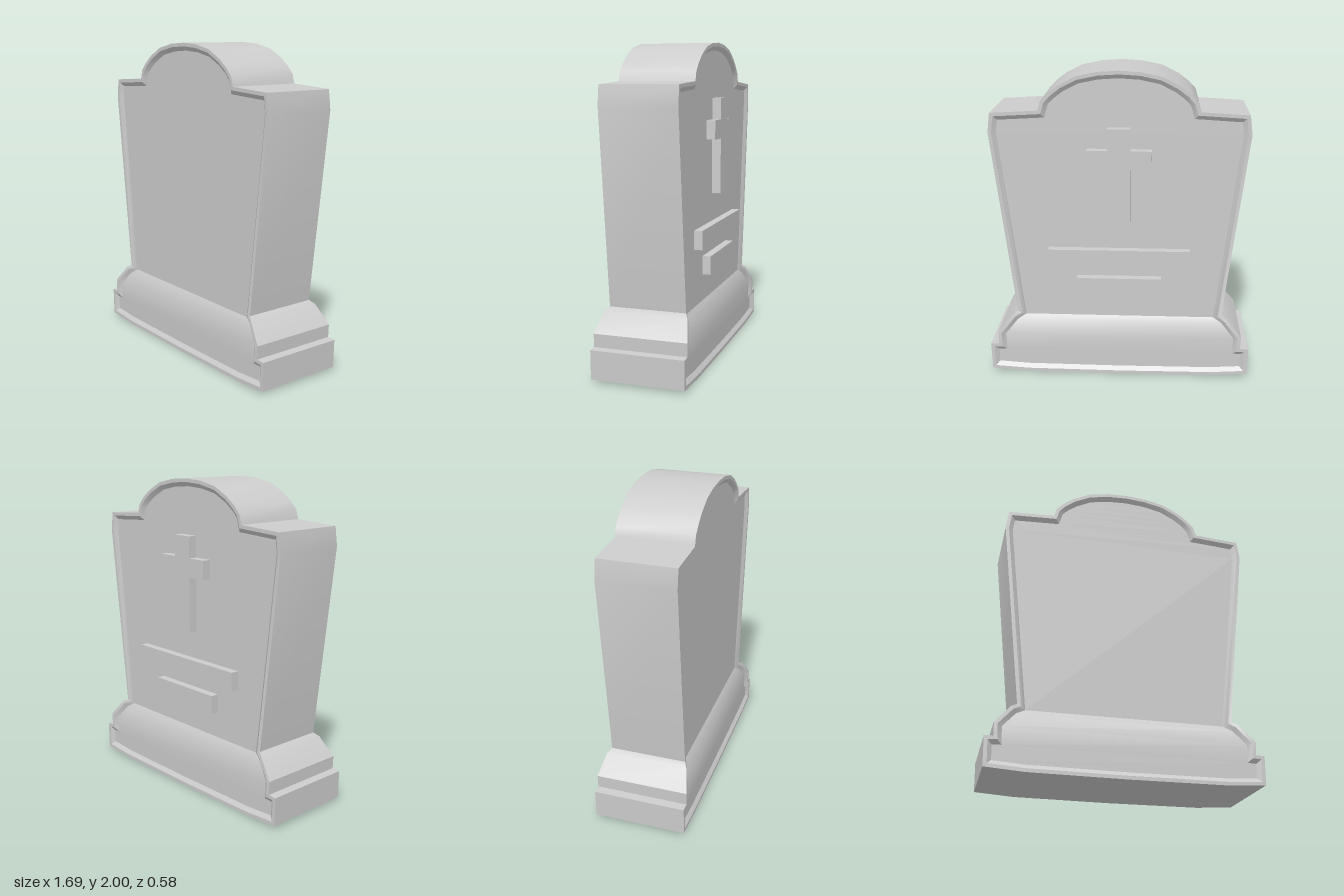
import * as THREE from 'three';
import { toCreasedNormals } from 'three/addons/utils/BufferGeometryUtils.js';

// Right half of the outline, bottom centre to top centre: x, y, half depth
const HALF = [
  [0, 0, 0.29], [0.6, 0.004, 0.29], [0.842, 0.02, 0.29], [0.847, 0.2, 0.29],
  [0.793, 0.203, 0.29], [0.796, 0.285, 0.29], [0.70, 0.4, 0.26], [0.665, 0.42, 0.24],
  [0.803, 1.62, 0.24], [0.787, 1.74, 0.24], [0.492, 1.757, 0.24], [0.475, 1.815, 0.24],
  [0.43, 1.863, 0.24], [0.365, 1.912, 0.24], [0.26, 1.965, 0.24], [0.13, 1.992, 0.24], [0, 2, 0.24],
];

// Full outline, counter-clockwise from the front
const OUTLINE = [...HALF, ...HALF.slice(1, -1).reverse().map(([x, y, z]) => [-x, y, z])];
const N = OUTLINE.length;

// Outline moved inwards by d with mitred corners, at depth side * (z - sink)
function ring(d, sink, side) {
  return OUTLINE.map(([x, y, z], i) => {
    const a = OUTLINE[(i + N - 1) % N], b = OUTLINE[(i + 1) % N];
    const n1 = new THREE.Vector2(a[1] - y, x - a[0]).normalize();
    const n2 = new THREE.Vector2(y - b[1], b[0] - x).normalize();
    const m = n1.clone().add(n2);
    m.multiplyScalar(d / (1 + n1.dot(n2)));
    return [x + m.x, y + m.y, side * (z - sink)];
  });
}

// Stone and base in one: rim, bevel and sunken panel on both faces
function stoneGeometry() {
  const rings = [
    ring(0.048, 0.02, 1), ring(0.022, 0, 1), ring(0, 0, 1),
    ring(0, 0, -1), ring(0.022, 0, -1), ring(0.048, 0.02, -1),
  ];
  const pos = [], index = [];
  const quad = (a, b, c, d) => index.push(a, b, c, a, c, d);
  rings.forEach((r) => r.forEach((p) => pos.push(...p)));
  for (let k = 0; k < rings.length - 1; k++) {
    for (let i = 0; i < N; i++) {
      const j = (i + 1) % N;
      quad(k * N + i, (k + 1) * N + i, (k + 1) * N + j, k * N + j);
    }
  }
  // Panels: strips between mirrored outline points
  const back = (rings.length - 1) * N;
  for (let i = 0; i < HALF.length - 1; i++) {
    const l0 = (N - i) % N, l1 = N - i - 1;
    quad(l0, i, i + 1, l1);
    quad(back + i, back + l0, back + l1, back + i + 1);
  }
  const g = new THREE.BufferGeometry();
  g.setAttribute('position', new THREE.Float32BufferAttribute(pos, 3));
  g.setIndex(index);
  return toCreasedNormals(g, 0.5);
}

export function createModel() {
  const group = new THREE.Group();
  const material = new THREE.MeshStandardMaterial({ color: 0xcccccc });
  const add = (name, geometry) => {
    const mesh = new THREE.Mesh(geometry, material);
    mesh.name = name;
    group.add(mesh);
    return mesh;
  };

  add('headstone', stoneGeometry());

  // Raised cross on the back
  const right = [[0.07, 1.05], [0.07, 1.4], [0.2, 1.4], [0.2, 1.52], [0.07, 1.52], [0.07, 1.655]];
  const left = right.map(([x, y]) => [-x, y]).reverse();
  const shape = new THREE.Shape([...right, ...left].map(([x, y]) => new THREE.Vector2(x, y)));
  const cross = add('cross', new THREE.ExtrudeGeometry(shape, { depth: 0.065, bevelEnabled: false }));
  cross.position.z = -0.277;

  // Raised inscription bars below it
  for (const [name, width, y] of [['upperBar', 0.9, 0.812], ['lowerBar', 0.54, 0.62]]) {
    add(name, new THREE.BoxGeometry(width, 0.117, 0.06)).position.set(0, y, -0.242);
  }
  return group;
}
